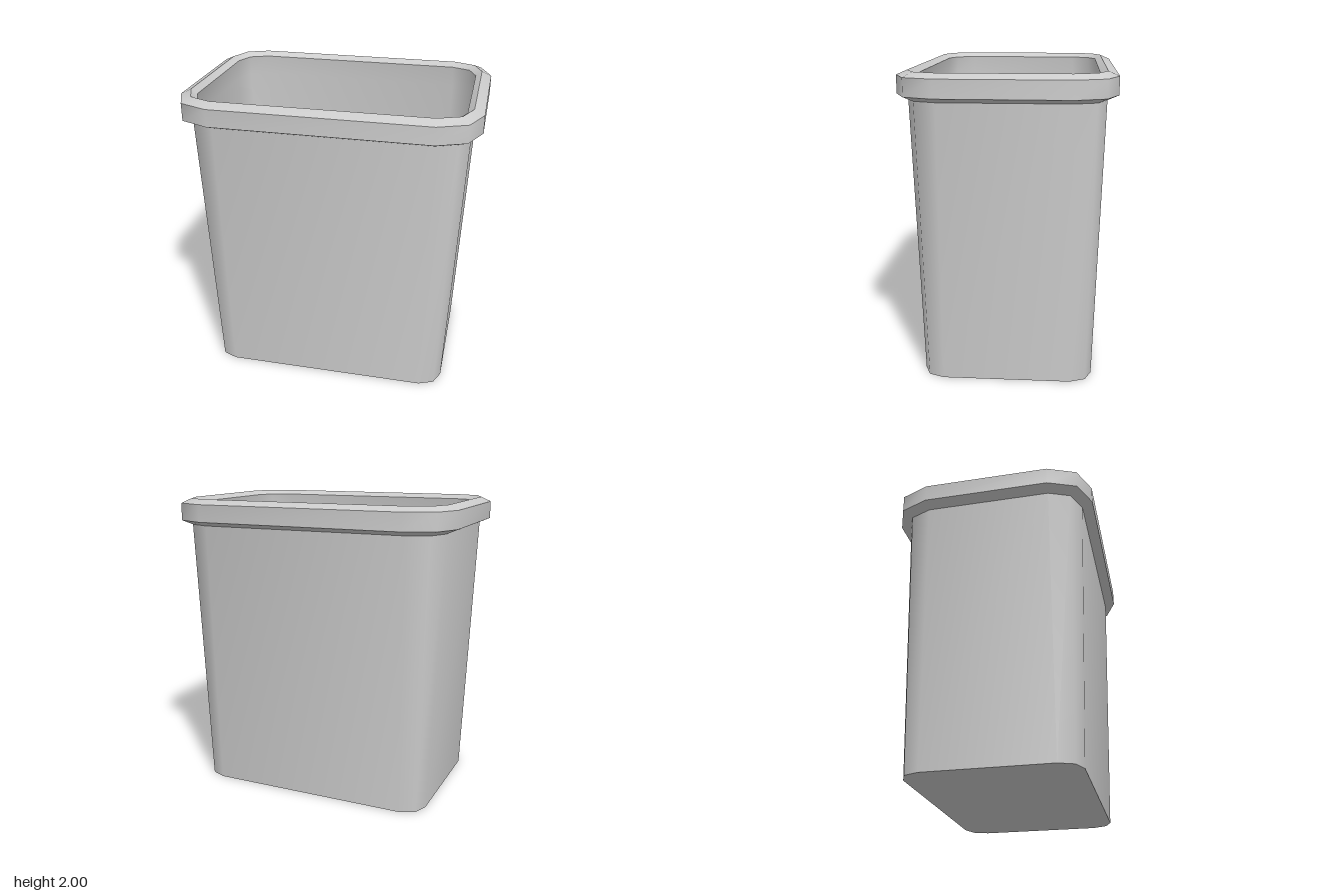
import * as THREE from 'three';
import { toCreasedNormals } from 'three/addons/utils/BufferGeometryUtils.js';

const material = new THREE.MeshStandardMaterial({ color: 0xcccccc });

// Rounded rectangle with two facets per corner, going round from +x towards +z.
function ring([y, hx, hz, r]) {
  const points = [];
  [[1, 1], [-1, 1], [-1, -1], [1, -1]].forEach(([sx, sz], corner) => {
    for (let i = 0; i <= 2; i++) {
      const a = (corner + i / 2) * Math.PI / 2;
      points.push([sx * (hx - r) + r * Math.cos(a), y, sz * (hz - r) + r * Math.sin(a)]);
    }
  });
  return points;
}

// Skin through sections [y, halfWidth, halfDepth, cornerRadius], optionally capped.
function loft(name, sections, { capStart = false, capEnd = false } = {}) {
  const rings = sections.map(ring);
  const n = rings[0].length;
  const positions = rings.flat(2);
  const index = [];
  for (let k = 0; k < rings.length - 1; k++) {
    for (let j = 0; j < n; j++) {
      const a = k * n + j, b = k * n + (j + 1) % n;
      index.push(a, a + n, b, b, a + n, b + n);
    }
  }
  const last = (rings.length - 1) * n;
  for (let j = 1; j < n - 1; j++) {
    if (capStart) index.push(0, j, j + 1);
    if (capEnd) index.push(last, last + j + 1, last + j);
  }
  const geometry = new THREE.BufferGeometry();
  geometry.setAttribute('position', new THREE.Float32BufferAttribute(positions, 3));
  geometry.setIndex(index);
  const mesh = new THREE.Mesh(toCreasedNormals(geometry, THREE.MathUtils.degToRad(50)), material);
  mesh.name = name;
  return mesh;
}

export function createModel() {
  const bin = new THREE.Group();
  bin.name = 'wasteBin';

  const neck = [1.825, 0.9, 0.61, 0.2];
  const lip = [1.97, 0.865, 0.57, 0.175];

  // Tapered outside wall with the underside
  bin.add(loft('outerWall', [[0, 0.82, 0.555, 0.14], neck], { capStart: true }));

  // Bevelled collar, folding over to the inner lip
  bin.add(loft('rim', [
    neck,
    [1.855, 0.97, 0.68, 0.265],
    [1.97, 0.97, 0.68, 0.265],
    [2, 0.905, 0.61, 0.205],
    lip,
  ]));

  // Inside wall under the lip, down to the floor
  bin.add(loft('innerWall', [
    lip,
    [1.83, 0.88, 0.588, 0.185],
    [0.02, 0.805, 0.515, 0.12],
  ], { capEnd: true }));

  return bin;
}
